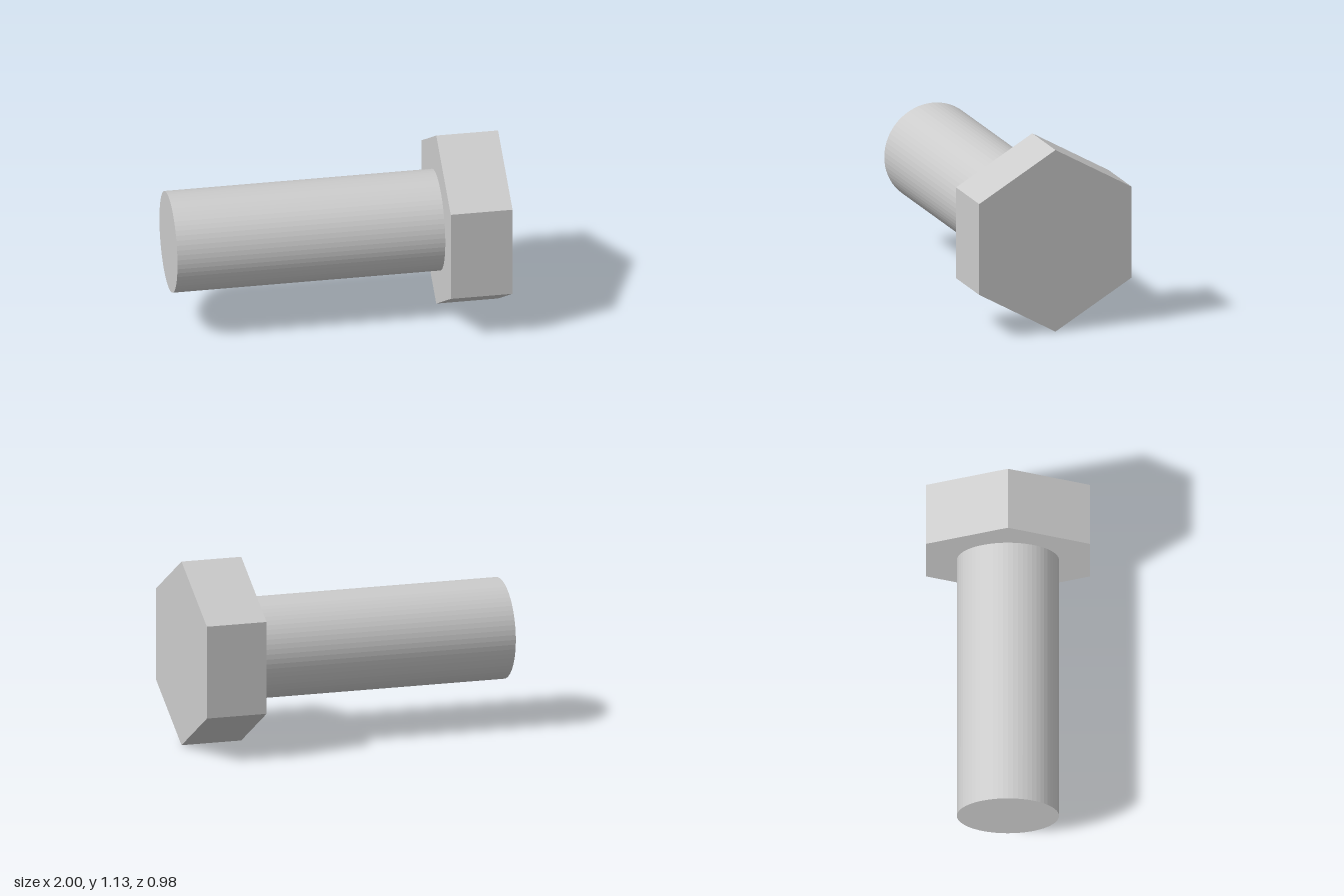
import * as THREE from 'three';

export function createModel() {
  const group = new THREE.Group();
  const material = new THREE.MeshStandardMaterial({ color: 0xcccccc, flatShading: true });
  const axisY = 0.566;

  // Prism lying along x, from x0 to x1
  function addPrism(name, radius, x0, x1, sides, startAngle) {
    const geometry = new THREE.CylinderGeometry(radius, radius, x1 - x0, sides, 1, false, startAngle);
    geometry.rotateZ(-Math.PI / 2);
    const mesh = new THREE.Mesh(geometry, material);
    mesh.name = name;
    mesh.position.set((x0 + x1) / 2, axisY, 0);
    group.add(mesh);
  }

  // Round shank, seated against the inner face of the head
  addPrism('shank', 0.305, -1, 0.625, 64, 0);

  // Hexagonal head with a corner pointing up
  addPrism('hexHead', 0.566, 0.625, 1, 6, Math.PI / 6);

  return group;
}
